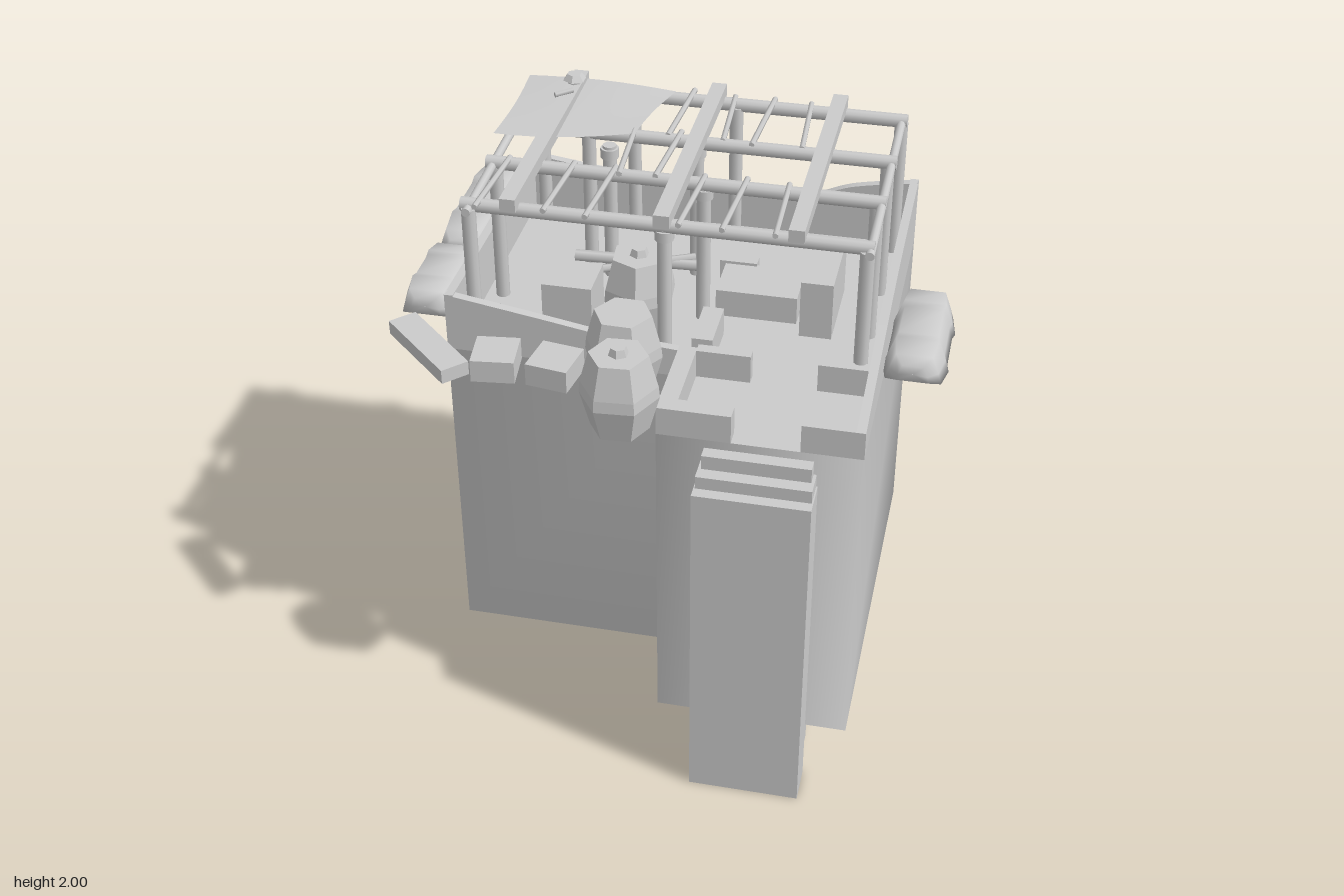
import * as THREE from 'three';

const grey = new THREE.MeshStandardMaterial({ color: 0xcccccc, side: THREE.DoubleSide });
const flat = new THREE.MeshStandardMaterial({ color: 0xcccccc, flatShading: true });

// Open strip of quads through equal-sized closed rings of points, smooth shaded
function loft(rings) {
  const n = rings[0].length, index = [];
  for (let r = 0; r + 1 < rings.length; r++) {
    for (let i = 0; i < n; i++) {
      const a = r * n + i, b = r * n + (i + 1) % n;
      index.push(a, a + n, b, b, a + n, b + n);
    }
  }
  const g = new THREE.BufferGeometry();
  g.setAttribute('position', new THREE.Float32BufferAttribute(rings.flat(2), 3));
  g.setIndex(index);
  g.computeVertexNormals();
  return g;
}

export function createModel() {
  const model = new THREE.Group();

  const add = (name, geo, x = 0, y = 0, z = 0, mat = grey) => {
    const m = new THREE.Mesh(geo, mat);
    m.name = name;
    m.position.set(x, y, z);
    model.add(m);
    return m;
  };
  // Box given by its limits on each axis
  const block = (name, x0, x1, y0, y1, z0, z1) =>
    add(name, new THREE.BoxGeometry(x1 - x0, y1 - y0, z1 - z0), (x0 + x1) / 2, (y0 + y1) / 2, (z0 + z1) / 2);
  // Round pole between two points
  const pole = (name, a, b, r, sides = 10) => {
    const p = new THREE.Vector3(...a), q = new THREE.Vector3(...b), d = q.clone().sub(p);
    const m = add(name, new THREE.CylinderGeometry(r, r, d.length(), sides), ...p.clone().add(q).multiplyScalar(0.5));
    m.quaternion.setFromUnitVectors(new THREE.Vector3(0, 1, 0), d.normalize());
    return m;
  };

  // L-shaped base: smooth walls open underneath, closed by the deck
  const plan = [[-0.715, -0.735], [-0.715, 0.3], [0.07, 0.3], [0.07, 0.63], [0.73, 0.63], [0.73, -0.735]];
  add('baseWalls', loft([1.39, 0.23].map((y) => plan.map(([x, z]) => [x, y, z]))));
  const deck = new THREE.ShapeGeometry(new THREE.Shape(plan.map(([x, z]) => new THREE.Vector2(x, -z))));
  add('deck', deck.rotateX(-Math.PI / 2), 0, 1.39, 0);

  // Parapet: top edge as [position along wall, height], extruded to its thickness
  const parapet = (name, top, at, alongZ, depth = 0.03) => {
    const s = new THREE.Shape();
    s.moveTo(top[0][0], 1.39);
    s.lineTo(...top[0]);
    s.splineThru(top.slice(1).map((p) => new THREE.Vector2(...p)));
    s.lineTo(top[top.length - 1][0], 1.39);
    const g = new THREE.ExtrudeGeometry(s, { depth, bevelEnabled: false, curveSegments: 8 });
    if (alongZ) g.rotateY(-Math.PI / 2).translate(depth, 0, 0);
    add(name, g, alongZ ? at : 0, 0, alongZ ? 0 : at);
  };
  parapet('leftParapet', [[-0.735, 1.64], [-0.45, 1.63], [-0.1, 1.61], [0.25, 1.56], [0.63, 1.49]], 0.70, true);
  parapet('rightParapet', [[-0.735, 1.6], [-0.2, 1.59], [0.3, 1.6]], -0.715, true);
  parapet('backParapet', [[-0.715, 1.6], [-0.4, 1.56], [0, 1.52], [0.3, 1.53], [0.5, 1.6], [0.73, 1.64]], -0.735, false);
  parapet('frontParapet', [[-0.715, 1.6], [-0.4, 1.55], [-0.15, 1.51], [0.07, 1.49]], 0.27, false);
  parapet('porchSideParapet', [[0.27, 1.49], [0.45, 1.49], [0.63, 1.49]], 0.07, true, 0.06);
  for (const [x0, x1] of [[0.07, 0.31], [0.53, 0.73]]) block('porchParapet', x0, x1, 1.39, 1.49, 0.57, 0.63);
  for (const [x0, x1] of [[0.13, 0.31], [0.53, 0.70]]) block('porchDivider', x0, x1, 1.39, 1.49, 0.25, 0.29);

  // Hollow entrance stair: front panel, stepped top and side cheeks
  block('stairFront', 0.21, 0.59, 0, 1.265, 0.745, 0.76);
  block('stairStep', 0.21, 0.59, 1.25, 1.265, 0.63, 0.76);
  block('stairStep', 0.215, 0.585, 1.265, 1.31, 0.63, 0.72);
  block('stairStep', 0.225, 0.575, 1.31, 1.36, 0.63, 0.675);
  for (const x of [0.21, 0.575]) {
    block('stairCheek', x, x + 0.015, 0, 1.265, 0.63, 0.745);
    block('stairBracket', x, x + 0.015, 0.15, 1.265, 0.6, 0.63);
  }

  // Posts carrying the roof frame
  const posts = [[-0.63, 0.24], [0.66, 0.24], [0.01, 0.22], [-0.63, -0.65], [0.66, -0.65], [-0.29, -0.65],
    [0.08, -0.65], [-0.63, -0.07], [0.65, -0.07], [0.08, -0.07], [-0.38, -0.35], [0, -0.35], [0.65, -0.35], [-0.29, -0.28]];
  for (const [x, z] of posts) pole('post', [x, 1.39, z], [x, 1.9, z], 0.024);
  for (const [x, z] of [[0.01, 0.22], [0.08, -0.07], [0, -0.35], [-0.29, -0.28]])
    pole('postCap', [x, 1.855, z], [x, 1.89, z], 0.032);

  // Roof beams, squared cross beams and thin battens
  for (const z of [-0.66, -0.35, -0.07, 0.22]) pole('roofBeam', [-0.66, 1.905, z], [0.68, 1.905, z + 0.005], 0.024);
  for (const x of [-0.49, 0.01, 0.44]) block('crossBeam', x - 0.026, x + 0.026, 1.92, 1.965, -0.69, 0.27);
  for (const [a, b] of [[-0.65, -0.63], [0.66, 0.67]]) pole('sideBeam', [a, 1.9, -0.68], [b, 1.9, 0.27], 0.015);
  const battens = [[-0.08, -0.1, -0.7, -0.34], [0.07, 0.09, -0.68, -0.34], [0.21, 0.19, -0.69, -0.33], [0.34, 0.36, -0.68, -0.34],
    [-0.22, -0.2, -0.36, -0.04], [-0.06, -0.08, -0.38, -0.05], [-0.51, -0.49, -0.36, -0.05],
    [-0.58, -0.6, -0.08, 0.27], [-0.36, -0.38, -0.09, 0.25], [-0.22, -0.24, -0.09, 0.26],
    [0.08, 0.06, -0.09, 0.25], [0.22, 0.2, -0.1, 0.25], [0.36, 0.37, -0.09, 0.25]];
  for (const [x0, x1, z0, z1] of battens) pole('batten', [x0, 1.925, z0], [x1, 1.925, z1], 0.01, 6);

  // Canvas sheet sagging over one corner of the roof
  const canvas = new THREE.PlaneGeometry(1, 1, 8, 8);
  canvas.rotateX(-Math.PI / 2);
  const cp = canvas.attributes.position;
  for (let i = 0; i < cp.count; i++) {
    const u = cp.getX(i) + 0.5, v = cp.getZ(i) + 0.5;
    cp.setXYZ(i, -0.68 + u * (0.54 - 0.07 * v) + 0.02 * Math.sin(v * Math.PI) * (0.5 - u),
      1.932 + 0.012 * Math.sin(u * Math.PI) * (1 - v), -0.68 + v * (0.46 - 0.12 * u * u) + 0.02 * u);
  }
  canvas.computeVertexNormals();
  add('canvas', canvas);

  // Hexagonal weights with a small peg beside each
  for (const [x, y, z] of [[-0.49, 1.96, -0.59], [-0.83, 1.51, -0.59]]) {
    pole('weightStem', [x, y, z], [x, y + 0.02, z], 0.025, 6);
    add('weight', new THREE.CylinderGeometry(0.026, 0.042, 0.022, 6), x, y + 0.029, z, flat);
    pole('peg', [x - 0.04, y + 0.01, z + 0.12], [x + 0.015, y + 0.015, z + 0.08], 0.01, 6);
  }

  // Slumped bags hung outside the parapet: broad flat belly, narrow top, pinched ends
  const section = [[0.07, 0.06], [-0.07, 0.06], [-0.095, -0.01], [-0.108, -0.055], [0.108, -0.055], [0.095, -0.01]];
  const stations = [[0.5, 0.02], [0.5, 0.5], [0.43, 0.85], [0.24, 1], [0.17, 0.93], [-0.17, 0.93], [-0.24, 1], [-0.43, 0.85], [-0.5, 0.5], [-0.5, 0.02]];
  for (const [x, z, len] of [[0.83, 0.015, 0.47], [-0.825, 0.01, 0.36], [-0.825, -0.485, 0.56]]) {
    add('bag', loft(stations.map(([t, s]) => section.map(([a, b]) => [a * s, b * s, t * len]))), x, 1.47, z);
  }

  // Plank and crates beside the front wall
  const plank = add('plank', new THREE.BoxGeometry(0.36, 0.05, 0.1), -0.75, 1.447, 0.39);
  plank.rotation.y = -0.76;
  for (const [x, turn] of [[-0.52, 0.12], [-0.32, -0.15]]) {
    add('crate', new THREE.BoxGeometry(0.145, 0.08, 0.15), x, 1.43, 0.39).rotation.y = turn;
  }

  // Six-sided barrels, some with a knob on the lid
  const profile = [[0, 0], [0.095, 0], [0.128, 0.12], [0.124, 0.16], [0.095, 0.27], [0, 0.27]].map(([r, y]) => new THREE.Vector2(r, y));
  for (const [x, z, knob, turn] of [[-0.08, 0.42, false, 0.5], [-0.04, 0.65, true, 0.6], [-0.11, 0.06, true, 0.1]]) {
    add('barrel', new THREE.LatheGeometry(profile, 6), x, 1.42, z, flat).rotation.y = turn;
    if (knob) add('barrelKnob', new THREE.CylinderGeometry(0.025, 0.035, 0.03, 6), x, 1.7, z, flat);
  }

  // Furniture on the deck
  block('cabinet', 0.42, 0.53, 1.39, 1.6, -0.34, -0.02);
  block('chest', -0.42, -0.25, 1.39, 1.6, 0, 0.17);
  block('bench', 0.1, 0.17, 1.39, 1.49, 0.02, 0.22);
  block('shelf', 0.1, 0.23, 1.39, 1.5, -0.32, -0.27);
  block('bed', 0.12, 0.4, 1.39, 1.49, -0.28, -0.09);
  pole('trestle', [-0.4, 1.5, -0.2], [0.03, 1.5, -0.22], 0.02, 6);
  pole('trestle', [-0.36, 1.48, -0.13], [0.02, 1.52, -0.24], 0.015, 6);
  return model;
}
